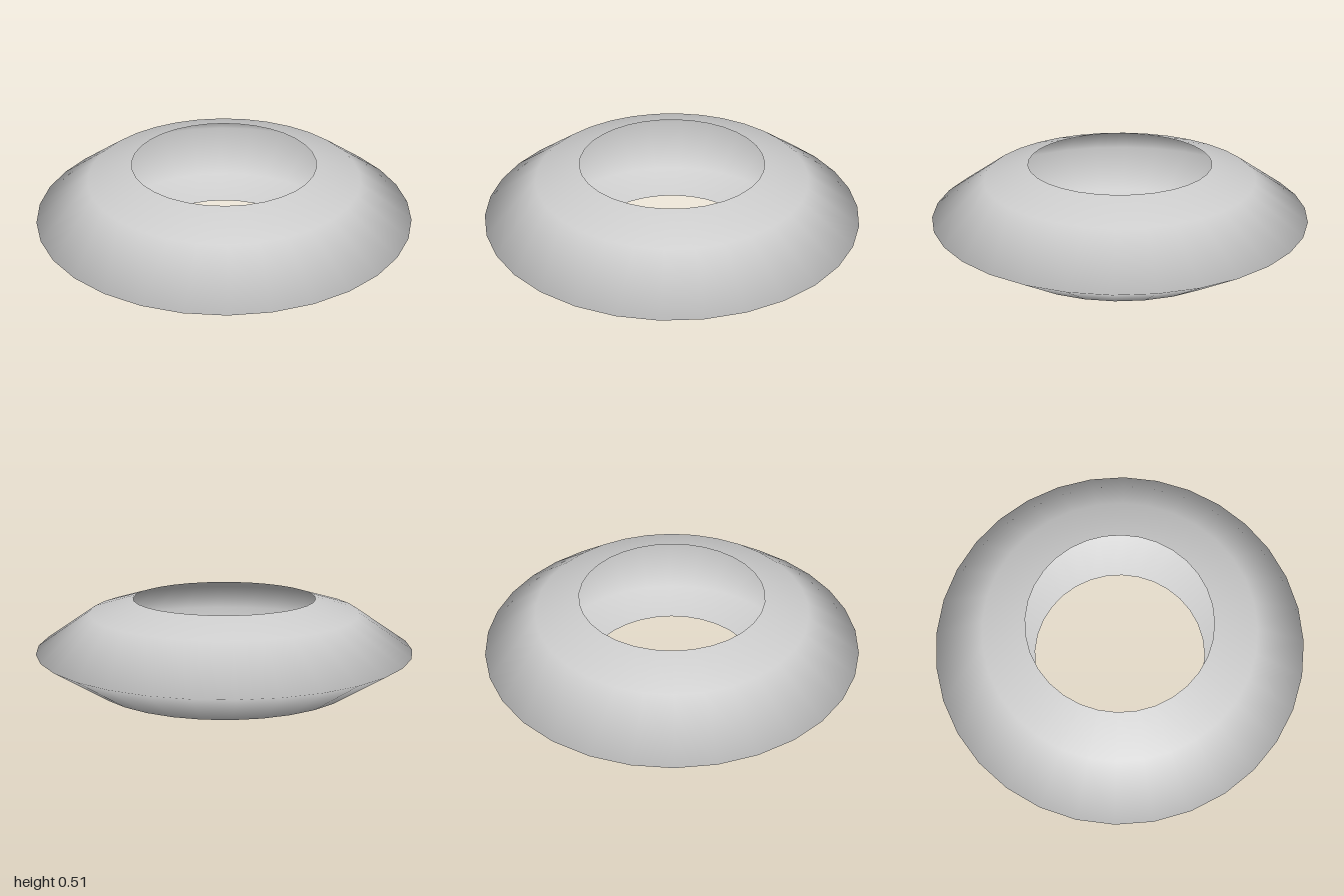
import * as THREE from 'three';

export function createModel() {
  const group = new THREE.Group();
  group.name = 'openRing';

  // Hollow shell, open on its inner side: half profile mirrored about the rim
  const midY = 0.257;
  const upper = [[0.72, 0.188], [0.487, 0.256]]; // radius, height above the rim
  const profile = [
    ...upper.map(([r, h]) => new THREE.Vector2(r, midY - h)).reverse(),
    new THREE.Vector2(1, midY),
    ...upper.map(([r, h]) => new THREE.Vector2(r, midY + h)),
  ];
  const material = new THREE.MeshStandardMaterial({ color: 0xcccccc, side: THREE.DoubleSide });
  const shell = new THREE.Mesh(new THREE.LatheGeometry(profile, 32), material);
  shell.name = 'ringShell';
  group.add(shell);

  return group;
}
